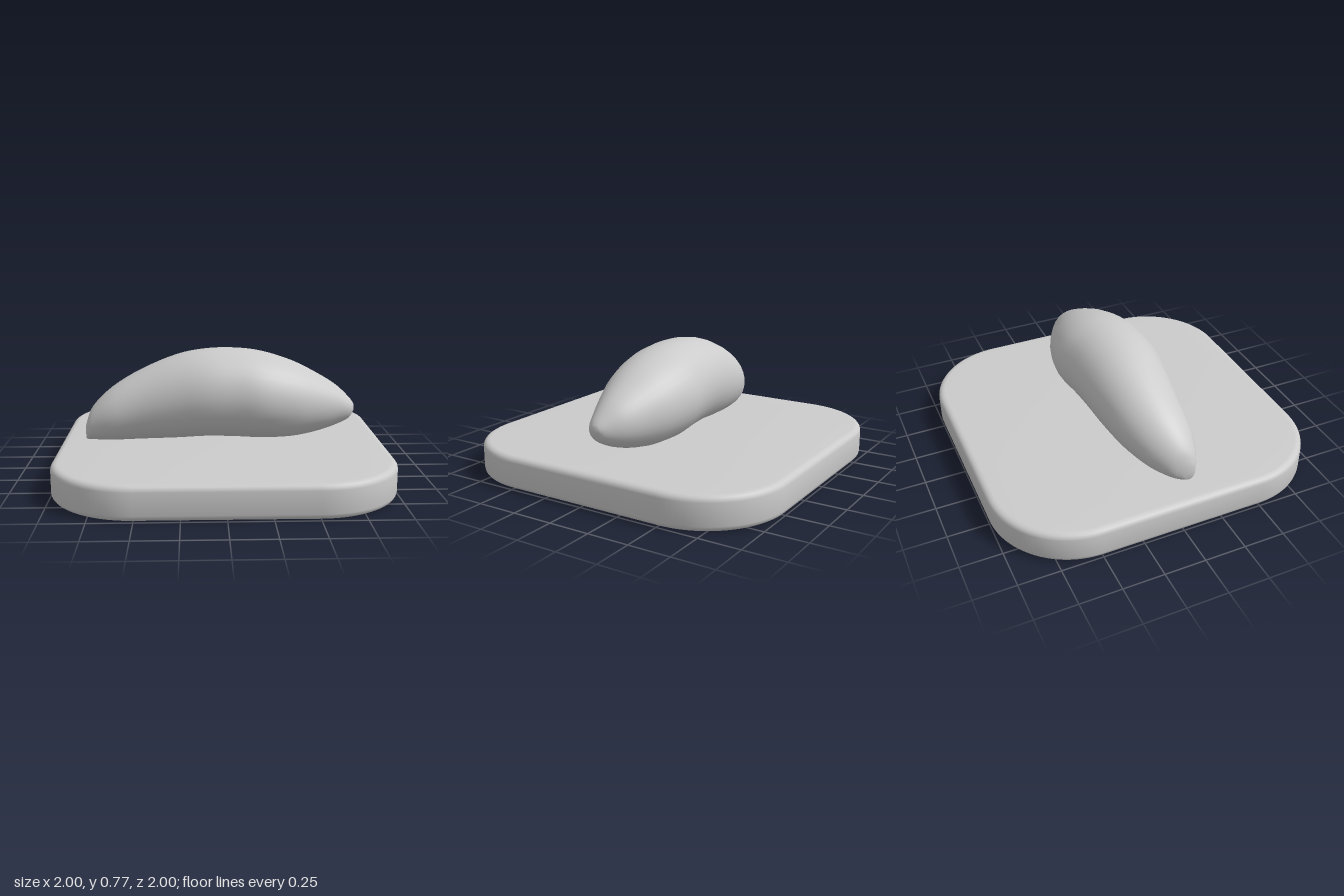
import * as THREE from 'three';
import { toCreasedNormals } from 'three/addons/utils/BufferGeometryUtils.js';

const material = () => new THREE.MeshStandardMaterial({ color: 0xcccccc });

// Rounded square slab with softened edges
function createBase() {
  const bevel = 0.04, rise = 0.035, h = 1 - bevel, r = 0.5 - bevel, c = h - r;
  const shape = new THREE.Shape();
  shape.absarc(c, c, r, 0, Math.PI / 2);
  shape.absarc(-c, c, r, Math.PI / 2, Math.PI);
  shape.absarc(-c, -c, r, Math.PI, Math.PI * 1.5);
  shape.absarc(c, -c, r, Math.PI * 1.5, Math.PI * 2);
  shape.closePath();
  const geometry = new THREE.ExtrudeGeometry(shape, {
    depth: 0.2 - 2 * rise, bevelSize: bevel, bevelThickness: rise, bevelSegments: 4, curveSegments: 12,
  });
  geometry.rotateX(-Math.PI / 2).translate(0, rise, 0);
  const mesh = new THREE.Mesh(toCreasedNormals(geometry, 0.6), material());
  mesh.name = 'basePlate';
  return mesh;
}

// Arched loaf lofted through elliptical sections: x, top, bottom, back, front
function createLoaf() {
  const sections = [
    [-0.84, 0.32, 0.22, 0.07, 0.14],
    [-0.80, 0.42, 0.21, -0.02, 0.165],
    [-0.68, 0.535, 0.2, -0.12, 0.205],
    [-0.50, 0.64, 0.2, -0.195, 0.225],
    [-0.28, 0.73, 0.205, -0.24, 0.255],
    [-0.10, 0.765, 0.215, -0.262, 0.28],
    [0.08, 0.768, 0.21, -0.277, 0.283],
    [0.25, 0.745, 0.2, -0.292, 0.283],
    [0.44, 0.685, 0.205, -0.255, 0.24],
    [0.60, 0.605, 0.235, -0.19, 0.175],
    [0.72, 0.53, 0.275, -0.125, 0.118],
    [0.80, 0.455, 0.32, -0.05, 0.08],
    [0.83, 0.415, 0.37, -0.01, 0.045],
  ];
  const curve = (a, b) => new THREE.CatmullRomCurve3(
    sections.map(s => new THREE.Vector3(s[0], s[a], s[b])), false, 'catmullrom', 0.5);
  const heights = curve(1, 2), widths = curve(3, 4);
  const rings = 48, sides = 32, positions = [], index = [];
  for (let i = 0; i <= rings; i++) {
    const v = heights.getPoint(i / rings), w = widths.getPoint(i / rings);
    for (let j = 0; j < sides; j++) {
      const a = j / sides * Math.PI * 2;
      positions.push(v.x,
        (v.y + v.z) / 2 + (v.y - v.z) / 2 * Math.cos(a),
        (w.y + w.z) / 2 + (w.z - w.y) / 2 * Math.sin(a));
      if (i < rings) {
        const p = i * sides + j, q = i * sides + (j + 1) % sides;
        index.push(p, q, p + sides, q, q + sides, p + sides);
      }
    }
  }
  // Close both tips
  const tip = positions.length / 3, last = rings * sides;
  positions.push(-0.842, 0.27, 0.105, 0.833, 0.392, 0.018);
  for (let j = 0; j < sides; j++) {
    const k = (j + 1) % sides;
    index.push(tip, k, j, tip + 1, last + j, last + k);
  }
  const geometry = new THREE.BufferGeometry();
  geometry.setAttribute('position', new THREE.Float32BufferAttribute(positions, 3));
  geometry.setIndex(index);
  geometry.computeVertexNormals();
  const mesh = new THREE.Mesh(geometry, material());
  mesh.name = 'archedLoaf';
  return mesh;
}

export function createModel() {
  const group = new THREE.Group();
  group.name = 'loafOnPlate';
  group.add(createBase(), createLoaf());
  return group;
}
